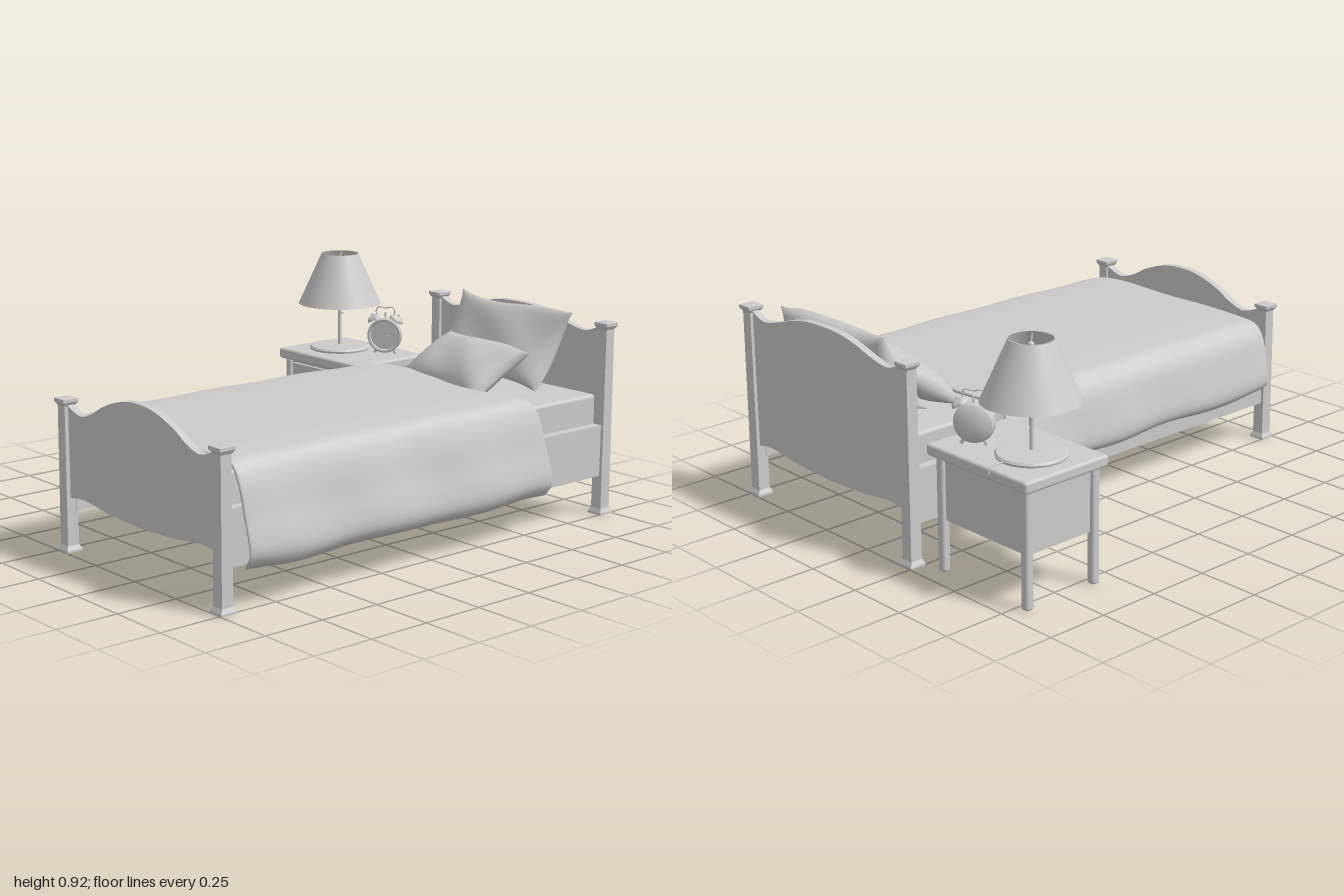
import * as THREE from 'three';
import { toCreasedNormals } from 'three/addons/utils/BufferGeometryUtils.js';
import { RoundedBoxGeometry } from 'three/addons/geometries/RoundedBoxGeometry.js';
import { ParametricGeometry } from 'three/addons/geometries/ParametricGeometry.js';

const grey = new THREE.MeshStandardMaterial({ color: 0xcccccc });
const flat = new THREE.MeshStandardMaterial({ color: 0xcccccc, flatShading: true });
const thin = new THREE.MeshStandardMaterial({ color: 0xcccccc, side: THREE.DoubleSide });
const V = (x, y, z) => new THREE.Vector3(x, y, z);
const V2 = (x, y) => new THREE.Vector2(x, y);

function add(parent, name, geo, x = 0, y = 0, z = 0, mat = grey) {
  const m = new THREE.Mesh(geo, mat);
  m.name = name;
  m.position.set(x, y, z);
  parent.add(m);
  return m;
}
// Box given by its limits on each axis, with an optional rounded edge
function box(parent, name, [x0, x1], [y0, y1], [z0, z1], r = 0) {
  const s = [x1 - x0, y1 - y0, z1 - z0];
  const geo = r ? new RoundedBoxGeometry(...s, 3, r) : new THREE.BoxGeometry(...s);
  return add(parent, name, geo, (x0 + x1) / 2, (y0 + y1) / 2, (z0 + z1) / 2);
}
const lathe = (pts, n = 40) =>
  toCreasedNormals(new THREE.LatheGeometry(pts.map(p => V2(...p)), n), 0.6);
const tube = (pts, r, n = 24) =>
  new THREE.TubeGeometry(new THREE.CatmullRomCurve3(pts.map(p => V(...p))), n, r, 8);

const CX = 0.252, POST = 0.475; // bed centre line and post offset

// Square post with flared foot and cap
function post(parent, name, x, z, h) {
  const prof = [[0, 0], [0.034, 0], [0.034, 0.008], [0.025, 0.025], [0.023, h - 0.045], [0.023, h - 0.03],
    [0.033, h - 0.015], [0.033, h - 0.003], [0, h]];
  const pts = prof.map(([r, y]) => V2(r * Math.SQRT2, y));
  add(parent, name, new THREE.LatheGeometry(pts, 4, Math.PI / 4), x, 0, z, flat);
}
// Symmetric spline from [offset, height] pairs that run from the centre outwards
function wave(half) {
  const left = half.slice(1).reverse().map(([x, y]) => V2(-x, y));
  return new THREE.SplineCurve([...left, ...half.map(p => V2(...p))]).getPoints(48);
}
function slab(outline, depth) {
  const geo = new THREE.ExtrudeGeometry(new THREE.Shape(outline), { depth, bevelEnabled: false });
  geo.translate(0, 0, -depth / 2);
  return toCreasedNormals(geo, 0.5);
}
// Wavy end board with a slim lip along its top edge
function board(parent, name, topPts, z) {
  const top = wave(topPts);
  const low = wave([[0, 0.197], [0.2, 0.205], [0.36, 0.222], [0.46, 0.21]]).reverse();
  add(parent, name, slab([...top, ...low], 0.02), CX, 0, z);
  const under = top.map(p => V2(p.x, p.y - 0.006)).reverse();
  add(parent, name + 'Lip', slab([...top, ...under], 0.03), CX, 0.001, z);
}

// Pillow: puffed middle, thin seam, corners drawn outwards, slumped along a curve
function pillow(parent, name, w, h, t, bend, pos, rot) {
  const side = s => new ParametricGeometry((a, b, out) => {
    const u = s * (a * 2 - 1), v = b * 2 - 1;
    const puff = Math.pow(Math.max(0, (1 - u * u) * (1 - v * v)), 0.42);
    const crease = 1 + 0.06 * Math.sin(u * 5 + v * 3);
    out.set(w / 2 * u * (1 - 0.07 * (1 - v * v)) + 0.012 * v * v * v,
      h / 2 * v * (1 - 0.08 * (1 - u * u)) + 0.01 * Math.sin(u * 3.2),
      s * t * puff * crease + bend * (v * v - 0.4));
  }, 28, 24);
  const g = new THREE.Group();
  g.name = name;
  add(g, name + 'Front', side(1), 0, 0, 0, thin);
  add(g, name + 'Back', side(-1), 0, 0, 0, thin);
  g.position.set(...pos);
  g.rotation.set(...rot, 'YXZ');
  parent.add(g);
}

// Duvet: a padded cross-section swept along the bed, pinched shut at hems and ends
function duvet(parent) {
  const path = new THREE.CatmullRomCurve3([[-0.272, 0.212], [-0.312, 0.26], [-0.296, 0.38], [-0.266, 0.48],
    [-0.222, 0.53], [-0.14, 0.545], [0.25, 0.546], [0.65, 0.545], [0.725, 0.53], [0.763, 0.47],
    [0.794, 0.35], [0.822, 0.2], [0.79, 0.137]].map(p => V(p[0], p[1], 0)));
  const N = 80;
  const ring = Array.from({ length: N + 1 }, (_, i) => ({ p: path.getPointAt(i / N), t: path.getTangentAt(i / N) }));
  const geo = new ParametricGeometry((a, b, out) => {
    const outer = a >= 0.5; // inner layer first, then back along the outer layer
    const s = outer ? 2 - a * 2 : a * 2;
    const { p, t } = ring[Math.round(s * N)];
    const e = (1 - Math.cos(Math.PI * b)) / 2;
    const pinch = Math.pow(Math.max(0, Math.sin(Math.PI * e) * Math.sin(Math.PI * s)), 0.25);
    const hang = THREE.MathUtils.clamp((0.52 - p.y) / 0.35, 0, 1);
    const layer = (outer ? 0 : -0.045 - 0.01 * hang) * pinch - 0.02 * (1 - pinch);
    const ripple = 0.002 * Math.sin(e * 21 + s * 9) + hang * 0.005 * Math.sin(e * 17 + s * 5);
    const head = -0.54 - 0.04 * Math.cos(p.x * 7) - 0.025 * hang;
    const foot = 0.917 + 0.004 * Math.sin(p.x * 14) - 0.01 * hang;
    const off = layer + ripple;
    out.set(p.x - t.y * off, p.y + t.x * off + hang * 0.007 * Math.sin(e * 14), head + (foot - head) * e);
  }, N * 2, 60);
  geo.computeVertexNormals();
  add(parent, 'duvet', geo, 0, 0, 0, thin);
}

function bed() {
  const g = new THREE.Group();
  g.name = 'bed';
  for (const s of [-1, 1]) {
    post(g, 'headPost', CX + s * POST, -0.965, 0.788);
    post(g, 'footPost', CX + s * POST, 0.965, 0.597);
    const x = CX + s * 0.467;
    box(g, 'sideRail', [x - 0.02, x + 0.02], [0.16, 0.37], [-0.95, 0.95]);
    const b = CX + s * 0.32;
    box(g, 'slatBeam', [b - 0.015, b + 0.015], [0.265, 0.295], [-0.95, 0.95]);
  }
  board(g, 'headboard', [[0, 0.806], [0.1, 0.802], [0.2, 0.782], [0.29, 0.755], [0.38, 0.74], [0.46, 0.772]], -0.965);
  board(g, 'footboard', [[0, 0.655], [0.1, 0.645], [0.21, 0.608], [0.29, 0.565], [0.37, 0.543], [0.46, 0.575]], 0.962);
  for (let i = 0; i < 12; i++) {
    const z = -0.86 + i * 0.156;
    box(g, 'slat', [CX - 0.45, CX + 0.45], [0.295, 0.328], [z - 0.026, z + 0.026]);
  }
  box(g, 'mattress', [CX - 0.447, CX + 0.447], [0.328, 0.49], [-0.95, 0.93], 0.015);
  duvet(g);
  pillow(g, 'backPillow', 0.62, 0.35, 0.085, 0.03, [0.25, 0.652, -0.862], [-0.5, 0.02, -0.03]);
  pillow(g, 'frontPillow', 0.56, 0.3, 0.072, 0, [0.235, 0.578, -0.657], [-0.98, -0.19, 0]);
  return g;
}

function nightstand() {
  const g = new THREE.Group();
  g.name = 'nightstand';
  box(g, 'tableTop', [-0.83, -0.302], [0.45, 0.496], [-0.955, -0.56], 0.012);
  box(g, 'cabinet', [-0.79, -0.34], [0.205, 0.45], [-0.915, -0.592]);
  box(g, 'drawerFront', [-0.757, -0.376], [0.217, 0.437], [-0.6, -0.58], 0.003);
  for (const x of [-0.788, -0.343])
    for (const z of [-0.595, -0.913])
      box(g, 'leg', [x - 0.018, x + 0.018], [0, 0.452], [z - 0.018, z + 0.018], 0.012);
  // Bow handle with a flared mount at each end
  add(g, 'handleBow', tube([[-0.612, 0.327, -0.58], [-0.6, 0.327, -0.555], [-0.566, 0.325, -0.544],
    [-0.532, 0.327, -0.555], [-0.52, 0.327, -0.58]], 0.008));
  for (const x of [-0.61, -0.522]) box(g, 'handleMount', [x - 0.011, x + 0.011], [0.309, 0.345], [-0.582, -0.569], 0.005);
  return g;
}

function lamp() {
  const g = new THREE.Group();
  g.name = 'lamp';
  g.position.set(-0.645, 0.496, -0.758);
  add(g, 'lampBase', lathe([[0, 0], [0.13, 0], [0.132, 0.008], [0.125, 0.016], [0.02, 0.02], [0, 0.02]]));
  add(g, 'lampStem', new THREE.CylinderGeometry(0.008, 0.008, 0.24, 16), 0, 0.13, 0);
  add(g, 'socket', new THREE.CylinderGeometry(0.018, 0.014, 0.05, 20), 0, 0.26, 0);
  add(g, 'bulb', lathe([[0, 0.1], [0.02, 0.093], [0.032, 0.07], [0.028, 0.045], [0.014, 0.015], [0.013, 0]].reverse(), 24), 0, 0.28, 0);
  add(g, 'lampShade', new THREE.CylinderGeometry(0.081, 0.181, 0.222, 48, 1, true), 0, 0.316, 0, thin);
  // Wire spider that carries the shade
  for (let i = 0; i < 4; i++) {
    const a = Math.PI / 4 + i * Math.PI / 2, c = Math.cos(a), s = Math.sin(a);
    add(g, 'shadeWire', tube([[0, 0.4, 0], [c * 0.04, 0.405, s * 0.04], [c * 0.08, 0.42, s * 0.08]], 0.002, 8));
  }
  add(g, 'finial', new THREE.SphereGeometry(0.012, 16, 12), 0, 0.405, 0);
  add(g, 'pullChain', new THREE.CylinderGeometry(0.001, 0.001, 0.1, 6), 0.019, 0.215, 0);
  add(g, 'chainBead', new THREE.SphereGeometry(0.005, 10, 8), 0.019, 0.163, 0);
  add(g, 'cord', tube([[0, 0.008, -0.12], [0.008, 0.004, -0.16], [0, 0.003, -0.195], [0, -0.02, -0.2]], 0.003));
  return g;
}

function alarmClock() {
  const g = new THREE.Group();
  g.name = 'alarmClock';
  g.position.set(-0.431, 0.578, -0.838);
  g.rotation.y = 0.6;
  const body = lathe([[0, -0.028], [0.055, -0.026], [0.071, -0.016], [0.076, 0], [0.076, 0.022], [0.071, 0.026],
    [0.064, 0.024], [0.062, 0.015], [0, 0.015]]);
  add(g, 'clockBody', body).rotation.x = Math.PI / 2;
  add(g, 'hourHand', new THREE.BoxGeometry(0.004, 0.03, 0.003), 0, 0.013, 0.016);
  add(g, 'minuteHand', new THREE.BoxGeometry(0.04, 0.003, 0.003), 0.018, 0, 0.016);
  for (const s of [-1, 1]) {
    const bell = add(g, 'bell', lathe([[0.033, 0], [0.031, 0.01], [0.02, 0.02], [0.005, 0.024], [0.005, 0.03], [0, 0.03]], 24),
      s * 0.047, 0.066, 0, thin);
    bell.rotation.z = -s * 0.5;
    add(g, 'bellPin', tube([[s * 0.033, 0.05, 0], [s * 0.05, 0.078, 0]], 0.005, 2));
    add(g, 'clockFoot', tube([[s * 0.035, -0.06, 0], [s * 0.048, -0.08, 0]], 0.007, 2));
  }
  add(g, 'hammer', new THREE.CylinderGeometry(0.004, 0.003, 0.03, 10), 0, 0.085, 0);
  add(g, 'clockHandle', tube([[-0.034, 0.085, 0], [-0.042, 0.105, 0], [-0.03, 0.124, 0], [0, 0.12, 0],
    [0.03, 0.124, 0], [0.042, 0.105, 0], [0.034, 0.085, 0]], 0.003));
  return g;
}

export function createModel() {
  const model = new THREE.Group();
  model.name = 'bedroomSet';
  model.add(bed(), nightstand(), lamp(), alarmClock());
  return model;
}
